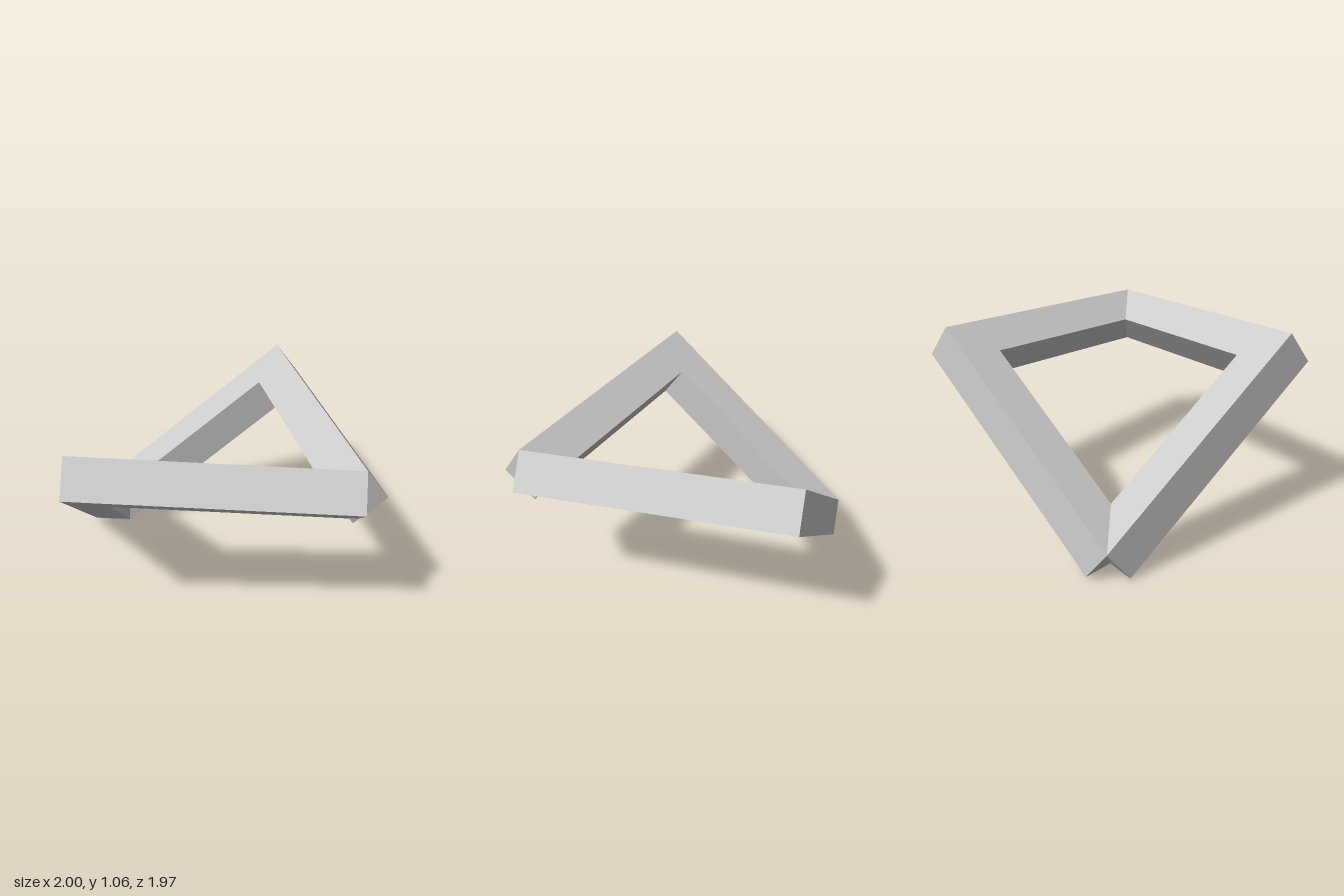
import * as THREE from 'three';

const LENGTH = 1.456, SIDE = 0.217;

// Perpendicular beam axes: u runs along the front beams, w along the rear beams
const tilt = THREE.MathUtils.degToRad(3.9);
const drop = tilt - Math.acos(0.6);
const ux = Math.sqrt(0.375), uyz = Math.sqrt(0.625);
const u = new THREE.Vector3(ux, uyz * Math.sin(tilt), -uyz * Math.cos(tilt));
const w = new THREE.Vector3(-ux, uyz * Math.sin(drop), -uyz * Math.cos(drop));
const v = new THREE.Vector3().crossVectors(w, u);

// Square beam with one corner at start, running along dir and widening along a and b
function beam(name, start, dir, a, b, mirror, material) {
  const center = start.clone()
    .addScaledVector(dir, LENGTH / 2)
    .addScaledVector(a, SIDE / 2)
    .addScaledVector(b, SIDE / 2);
  const flip = new THREE.Vector3(mirror, 1, 1);
  const x = dir.clone().multiply(flip);
  const y = a.clone().multiply(flip);
  const z = new THREE.Vector3().crossVectors(x, y);

  const mesh = new THREE.Mesh(new THREE.BoxGeometry(LENGTH, SIDE, SIDE), material);
  mesh.name = name;
  mesh.quaternion.setFromRotationMatrix(new THREE.Matrix4().makeBasis(x, y, z));
  mesh.position.copy(center.multiply(flip));
  return mesh;
}

export function createModel() {
  const group = new THREE.Group();
  group.name = 'foldedSquareFrame';
  const material = new THREE.MeshStandardMaterial({ color: 0xcccccc, flatShading: true });

  const frontTip = new THREE.Vector3(0, 0.987, 0.913);
  const sideCorner = frontTip.clone().addScaledVector(u, LENGTH);
  const inward = u.clone().negate();

  // Raised front pair and sloping rear pair, meeting at square corners
  for (const [side, mirror] of [['left', 1], ['right', -1]]) {
    group.add(beam(side + 'FrontBeam', frontTip, u, v, w, mirror, material));
    group.add(beam(side + 'RearBeam', sideCorner, w, v, inward, mirror, material));
  }
  return group;
}
